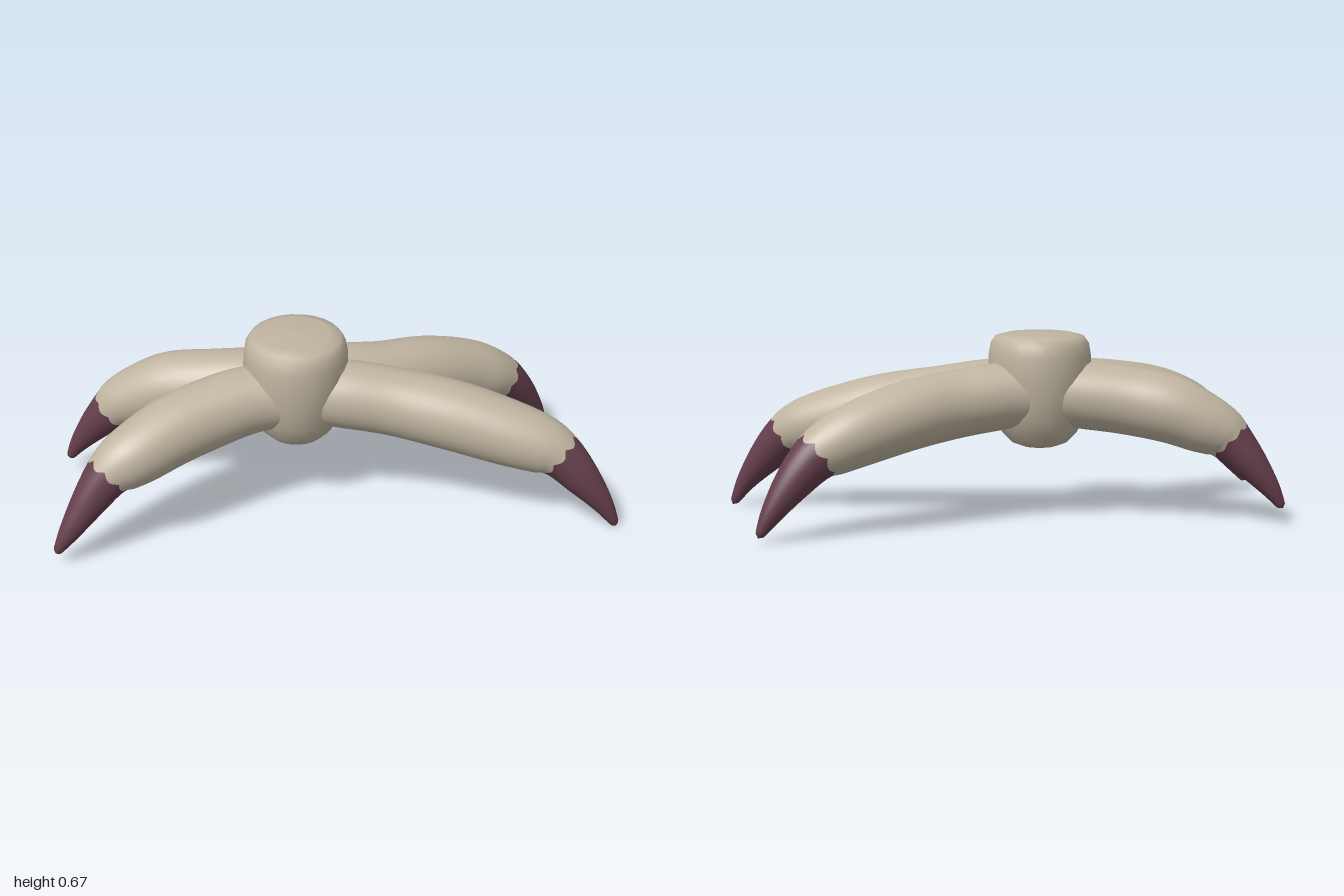
import * as THREE from 'three';

const skin = new THREE.MeshStandardMaterial({ color: 0xbfb4a0 });
skin.name = 'skin';
const horn = new THREE.MeshStandardMaterial({ color: 0x653f4c });
horn.name = 'horn';

// Each toe runs root to claw tip as x, y, z, radius
const toes = {
  frontLeftToe: [
    [-0.1, 0.465, 0.05, 0.11], [0.05, 0.455, 0.065, 0.122], [0.22, 0.43, 0.095, 0.122],
    [0.42, 0.395, 0.155, 0.125], [0.6, 0.35, 0.215, 0.118], [0.72, 0.315, 0.255, 0.104],
    [0.785, 0.28, 0.28, 0.084], [0.86, 0.2, 0.31, 0.065], [0.935, 0.105, 0.335, 0.038],
    [0.99, 0.012, 0.346, 0.013],
  ],
  backLeftToe: [
    [-0.1, 0.465, -0.05, 0.11], [0.05, 0.455, -0.065, 0.12], [0.2, 0.435, -0.1, 0.12],
    [0.36, 0.41, -0.165, 0.122], [0.52, 0.365, -0.23, 0.115], [0.62, 0.325, -0.26, 0.103],
    [0.69, 0.285, -0.285, 0.084], [0.765, 0.205, -0.315, 0.064], [0.835, 0.11, -0.342, 0.038],
    [0.882, 0.03, -0.357, 0.013],
  ],
  frontRightToe: [
    [-0.14, 0.46, 0.05, 0.11], [-0.3, 0.455, 0.07, 0.12], [-0.44, 0.435, 0.115, 0.124],
    [-0.57, 0.41, 0.175, 0.122], [-0.68, 0.375, 0.235, 0.113], [-0.75, 0.345, 0.265, 0.1],
    [-0.8, 0.31, 0.285, 0.08], [-0.87, 0.225, 0.315, 0.06], [-0.94, 0.13, 0.345, 0.036],
    [-0.99, 0.055, 0.358, 0.013],
  ],
  backRightToe: [
    [-0.14, 0.46, -0.05, 0.11], [-0.28, 0.455, -0.065, 0.12], [-0.42, 0.44, -0.095, 0.122],
    [-0.56, 0.415, -0.14, 0.122], [-0.67, 0.37, -0.17, 0.11], [-0.74, 0.335, -0.185, 0.095],
    [-0.78, 0.3, -0.195, 0.08], [-0.845, 0.225, -0.22, 0.06], [-0.91, 0.14, -0.24, 0.036],
    [-0.957, 0.065, -0.25, 0.013],
  ],
};

const CLAW_START = 6 / 9;
const SIDES = 48;

// Scalloped border between skin and claw
const border = (a) => CLAW_START - 0.022 * (1 - Math.abs(Math.sin(a * 4)));

// Skin a tapering tube between two borders given as functions of the angle
function loft(rows, from, to, steps) {
  const path = new THREE.CatmullRomCurve3(
    rows.map(([x, y, z]) => new THREE.Vector3(x, y, z)), false, 'catmullrom');
  const radii = new THREE.CatmullRomCurve3(
    rows.map((r) => new THREE.Vector3(r[3], 0, 0)), false, 'catmullrom');
  const up = new THREE.Vector3(0, 1, 0);
  const positions = [];
  const index = [];
  for (let i = 0; i <= steps; i++) {
    for (let j = 0; j < SIDES; j++) {
      const a = (j / SIDES) * Math.PI * 2;
      const u = THREE.MathUtils.lerp(from(a), to(a), i / steps);
      const t = path.getTangent(u);
      const side = new THREE.Vector3().crossVectors(t, up).normalize();
      const rise = new THREE.Vector3().crossVectors(side, t);
      // Round off the very tip
      const r = radii.getPoint(u).x * Math.sqrt(Math.min(1, (1 - u) * 60 + 0.0001));
      const p = path.getPoint(u)
        .addScaledVector(side, r * Math.cos(a))
        .addScaledVector(rise, r * Math.sin(a));
      positions.push(p.x, p.y, p.z);
      if (i < steps) {
        const k = (j + 1) % SIDES;
        const p0 = i * SIDES + j, p1 = i * SIDES + k;
        index.push(p0, p0 + SIDES, p1, p1, p0 + SIDES, p1 + SIDES);
      }
    }
  }
  const geometry = new THREE.BufferGeometry();
  geometry.setAttribute('position', new THREE.Float32BufferAttribute(positions, 3));
  geometry.setIndex(index);
  geometry.computeVertexNormals();
  return geometry;
}

function part(name, geometry, material) {
  const mesh = new THREE.Mesh(geometry, material);
  mesh.name = name;
  return mesh;
}

export function createModel() {
  const model = new THREE.Group();
  model.name = 'clawFoot';

  // Ankle stump with rounded ends
  const profile = [
    [0, 0.263], [0.06, 0.268], [0.1, 0.283], [0.135, 0.318], [0.162, 0.38], [0.177, 0.45],
    [0.187, 0.53], [0.184, 0.6], [0.177, 0.64], [0.16, 0.665], [0.12, 0.676], [0, 0.68],
  ].map(([x, y]) => new THREE.Vector2(x, y));
  const ankle = part('ankle', new THREE.LatheGeometry(profile, 24), skin);
  ankle.position.set(-0.122, 0, 0.005);
  ankle.scale.z = 1.04;
  model.add(ankle);

  // Four toes, each ending in a curved claw
  for (const [name, rows] of Object.entries(toes)) {
    const toe = new THREE.Group();
    toe.name = name;
    toe.add(part('toeFlesh', loft(rows, () => 0, border, 28), skin));
    toe.add(part('claw', loft(rows, border, () => 1, 24), horn));
    model.add(toe);
  }
  return model;
}
